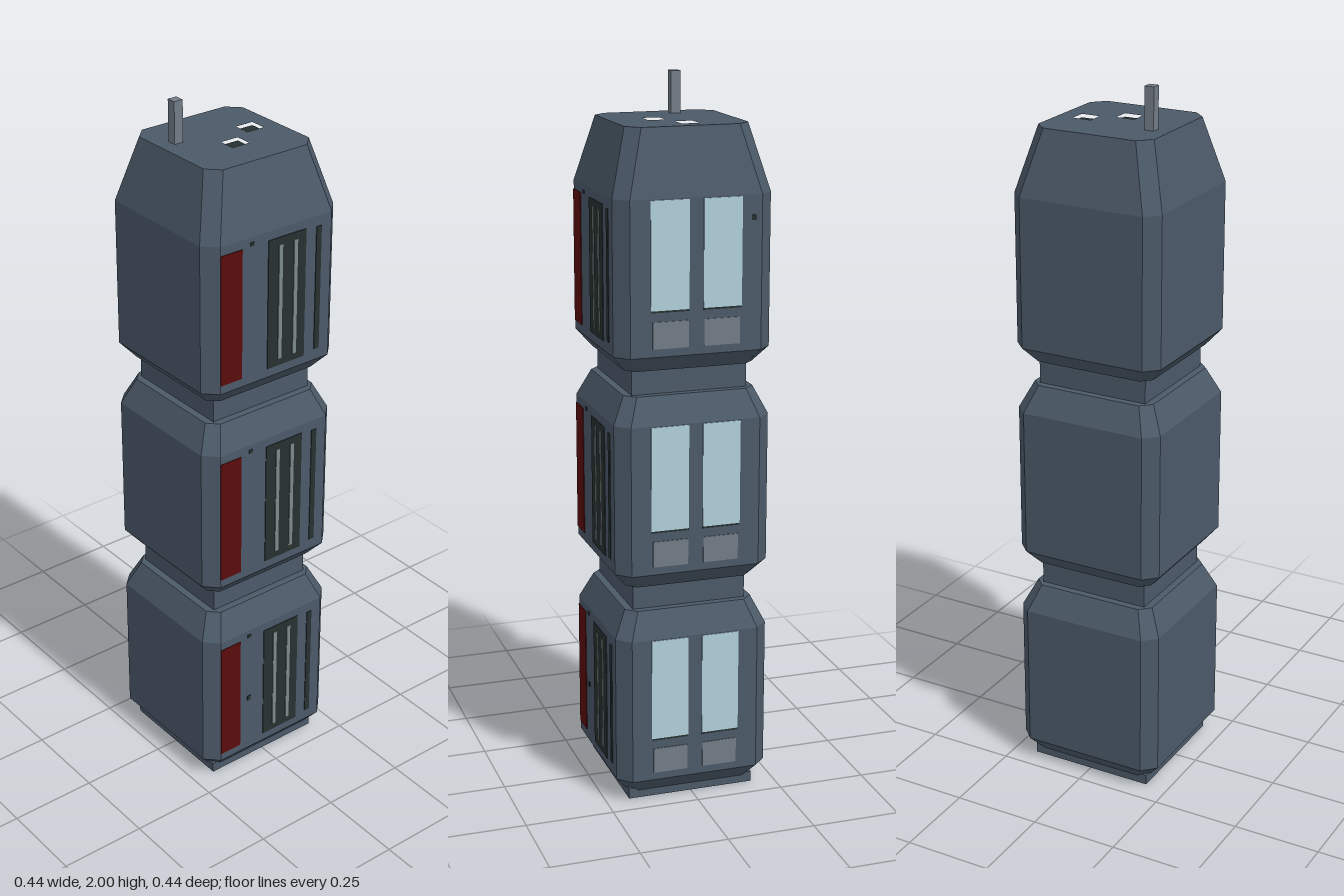
import * as THREE from 'three';

const mat = (name, color) => {
  const m = new THREE.MeshStandardMaterial({ color });
  m.name = name;
  return m;
};

// Corners of a square with cut corners, h = half width, c = half length of the flat side
const octagon = (h, c) => [[h, -c], [h, c], [c, h], [-c, h], [-h, c], [-h, -c], [-c, -h], [c, -h]];

// Faceted wall through sections [y, h, c], listed from the bottom up
function loft(sections) {
  const pos = [];
  const rings = sections.map(([y, h, c]) => octagon(h, c).map(([x, z]) => [x, y, z]));
  for (let s = 0; s < rings.length - 1; s++) {
    for (let i = 0; i < 8; i++) {
      const j = (i + 1) % 8, a = rings[s], b = rings[s + 1];
      pos.push(...a[j], ...a[i], ...b[i], ...a[j], ...b[i], ...b[j]);
    }
  }
  const g = new THREE.BufferGeometry();
  g.setAttribute('position', new THREE.Float32BufferAttribute(pos, 3));
  g.computeVertexNormals();
  return g;
}

const octagonShape = (h, c) => new THREE.Shape(octagon(h, c).map(([x, z]) => new THREE.Vector2(x, -z)));

export function createModel() {
  const root = new THREE.Group();
  root.name = 'tower';
  const hull = mat('slate hull', 0x4b5968);
  const dark = mat('dark vent', 0x263030);
  const red = mat('deep red', 0x5a0c0c);
  const glass = mat('pale glass', 0xb0d0da);
  const grey = mat('grey metal', 0x727c86);
  const slat = mat('green grey slat', 0x7c8a86);

  const add = (parent, name, geo, material, x = 0, y = 0, z = 0) => {
    const m = new THREE.Mesh(geo, material);
    m.name = name;
    m.position.set(x, y, z);
    parent.add(m);
    return m;
  };
  const box = (parent, name, material, w, h, d, x, y, z) =>
    add(parent, name, new THREE.BoxGeometry(w, h, d), material, x, y, z);

  const H = 0.22, T = 0.004;
  // Thin plates given by their edges, on the front wall and on the left (+x) wall
  const frontPlate = (p, name, m, x0, x1, y0, y1, lift = 0) =>
    box(p, name, m, x1 - x0, y1 - y0, T, (x0 + x1) / 2, (y0 + y1) / 2, H + lift);
  const sidePlate = (p, name, m, z0, z1, y0, y1) =>
    box(p, name, m, T, y1 - y0, z1 - z0, H, (y0 + y1) / 2, (z0 + z1) / 2);

  // Three stacked modules; local y = 0 is the foot of the upright wall
  [0.066, 0.676, 1.285].forEach((base, i) => {
    const top = i === 2;
    const mod = new THREE.Group();
    mod.name = 'module' + (i + 1);
    mod.position.y = base;
    root.add(mod);

    const crown = top ? [0.6, 0.171, 0.136] : [0.495, 0.184, 0.155];
    add(mod, 'shell', loft([[-0.045, 0.182, 0.155], [0, H, 0.183], [0.42, H, 0.183], crown]), hull);
    const floor = new THREE.ShapeGeometry(octagonShape(0.182, 0.155)).rotateX(Math.PI / 2);
    add(mod, 'underside', floor, hull, 0, -0.045, 0);
    if (!top) {
      const cap = new THREE.ShapeGeometry(octagonShape(0.184, 0.155)).rotateX(-Math.PI / 2);
      add(mod, 'shoulderTop', cap, hull, 0, 0.495, 0);
      box(mod, 'neck', hull, 0.326, 0.08, 0.326, 0, 0.53, 0);
    }

    // Front: red panel, slatted vent, narrow slot and small port
    frontPlate(mod, 'redPanel', red, -0.183, -0.113, 0.025, 0.395);
    frontPlate(mod, 'vent', dark, -0.028, 0.097, 0.025, 0.395);
    for (const x of [0.012, 0.062]) frontPlate(mod, 'ventSlat', slat, x - 0.006, x + 0.006, 0.045, 0.375, 0.002);
    frontPlate(mod, 'slot', dark, 0.132, 0.149, 0.033, 0.39);
    frontPlate(mod, 'port', dark, -0.087, -0.075, 0.396, 0.406);

    // Side: two windows over two service panels
    for (const s of [-1, 1]) {
      const edges = (a, b) => (s > 0 ? [a, b] : [-b, -a]);
      sidePlate(mod, 'window', glass, ...edges(0.02, 0.127), 0.125, 0.417);
      sidePlate(mod, 'windowSill', dark, ...edges(0.02, 0.127), 0.12, 0.125);
      sidePlate(mod, 'servicePanel', grey, ...edges(0.022, 0.122), 0.022, 0.095);
    }
  });

  // Keyholes
  frontPlate(root, 'frontKeyhole', dark, -0.087, -0.075, 0.24, 0.255);
  sidePlate(root, 'sideKeyhole', dark, -0.167, -0.153, 1.637, 1.651);

  // Square foot
  box(root, 'foot', hull, 0.366, 0.03, 0.366, 0, 0.015, 0);

  // Roof slab with two sunken vents
  const roof = octagonShape(0.171, 0.136);
  for (const [x, z] of [[0, 0.047], [0.097, -0.014]]) {
    const w = 0.027, d = 0.024;
    roof.holes.push(new THREE.Path([[-w, -d], [-w, d], [w, d], [w, -d]]
      .map(([a, b]) => new THREE.Vector2(x + a, -z + b))));
    box(root, 'roofVent', dark, 2 * w + 0.004, 0.004, 2 * d + 0.004, x, 1.873, z);
  }
  const slab = new THREE.ExtrudeGeometry(roof, { depth: 0.015, bevelEnabled: false }).rotateX(-Math.PI / 2);
  add(root, 'roof', slab, hull, 0, 1.87, 0);

  // Antenna
  box(root, 'antenna', grey, 0.027, 0.12, 0.027, -0.117, 1.94, -0.05);
  return root;
}
